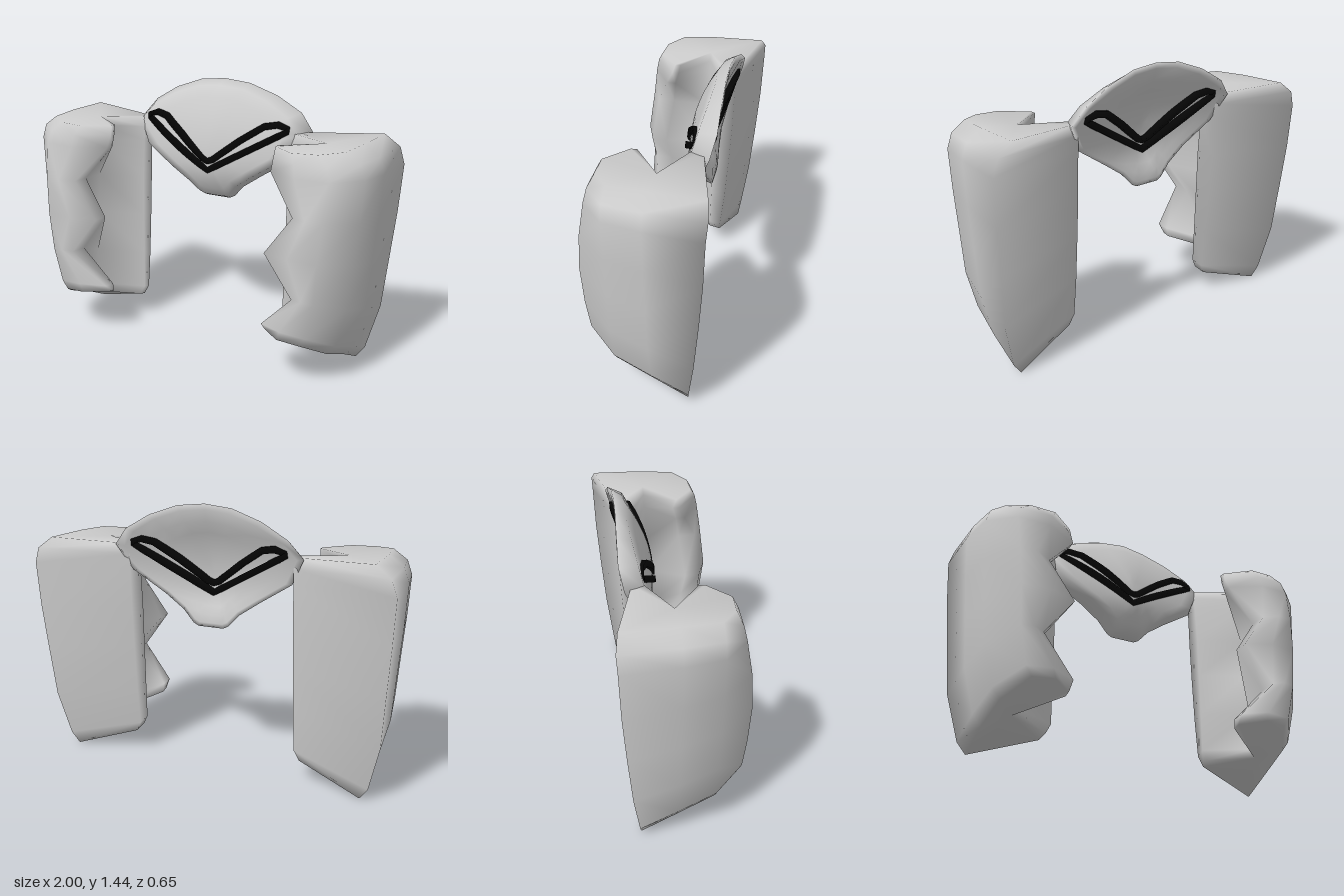
import * as THREE from 'three';

const grey = new THREE.MeshStandardMaterial({ color: 0xcccccc, side: THREE.DoubleSide });
const black = new THREE.MeshStandardMaterial({ color: 0x050505, side: THREE.DoubleSide });

function makeMesh(name, positions, index, material) {
  const g = new THREE.BufferGeometry();
  g.setAttribute('position', new THREE.Float32BufferAttribute(positions, 3));
  g.setIndex(index);
  g.computeVertexNormals();
  const mesh = new THREE.Mesh(g, material);
  mesh.name = name;
  return mesh;
}

// Depth of the domed, ridged face of the brow plate
function faceZ(x, y) {
  const d = y - 1;
  return -0.06 - 0.13 * Math.abs(x) - (d > 0 ? 0.8 : 2) * d * d;
}

// Brow plate: a thick domed shield, rings run from the front centre over the rim to the back centre
function browPlate() {
  const half = [
    [0, 1.44, -0.255], [0.15, 1.425, -0.258], [0.31, 1.37, -0.265], [0.45, 1.29, -0.27],
    [0.525, 1.2, -0.25], [0.45, 1.06, -0.2], [0.27, 0.945, -0.18], [0.16, 0.87, -0.185],
    [0.1, 0.805, -0.19], [0.07, 0.79, -0.19], [0, 0.79, -0.19],
  ];
  const outline = [...half, ...half.slice(1, -1).reverse().map(([x, y, z]) => [-x, y, z])];
  const n = outline.length, cy = 1.06, thickness = 0.08;
  const steps = [0.15, 0.3, 0.45, 0.6, 0.76, 0.92];
  const rings = [
    ...steps.map((s) => [s, 0]),
    [1, 0],
    ...steps.slice().reverse().map((s) => [s, thickness]),
  ];
  const pos = [0, cy, faceZ(0, cy)], index = [];
  rings.forEach(([s, depth], r) => {
    outline.forEach(([ox, oy, oz], i) => {
      const x = ox * s, y = cy + (oy - cy) * s;
      pos.push(x, y, s === 1 ? oz : Math.max(faceZ(x, y) - depth, oz));
      const a = 1 + r * n + i, b = 1 + r * n + (i + 1) % n;
      if (r === 0) index.push(0, b, a);
      else index.push(a - n, b, a, a - n, b - n, b);
    });
  });
  const backCentre = pos.length / 3, lastRing = backCentre - n;
  pos.push(0, cy, faceZ(0, cy) - thickness);
  for (let i = 0; i < n; i++) index.push(backCentre, lastRing + i, lastRing + (i + 1) % n);
  return makeMesh('browPlate', pos, index, grey);
}

// V-shaped band: a deep rectangular section swept round a closed path, set right through the plate
function browBand() {
  const half = [
    [0, 1.019], [0.03, 1.03], [0.18, 1.145], [0.3, 1.225],
    [0.37, 1.238], [0.42, 1.222], [0.42, 1.205], [0, 0.968],
  ];
  const corners = [...half, ...half.slice(1, -1).reverse().map(([x, y]) => [-x, y])];
  const path = [];
  corners.forEach(([x, y], i) => {
    const [nx, ny] = corners[(i + 1) % corners.length];
    const steps = Math.max(1, Math.round(Math.hypot(nx - x, ny - y) / 0.05));
    for (let k = 0; k < steps; k++) {
      path.push(new THREE.Vector2(x + (nx - x) * k / steps, y + (ny - y) * k / steps));
    }
  });
  const n = path.length, w = 0.017, pos = [], index = [];
  path.forEach((p, i) => {
    const t1 = p.clone().sub(path[(i + n - 1) % n]).normalize();
    const t = path[(i + 1) % n].clone().sub(p).normalize().add(t1).normalize();
    const z = faceZ(p.x, p.y);
    // the arms stand proud of the plate most at mid length
    const bulge = 0.018 * Math.sin(Math.PI * Math.abs(p.x) / 0.42);
    const front = z + 0.004 + bulge, back = z - 0.095 - bulge;
    for (const [side, pz] of [[1, front], [1, back], [-1, back], [-1, front]]) {
      pos.push(p.x - t.y * w * side, p.y + t.x * w * side, pz);
    }
    for (let k = 0; k < 4; k++) {
      const a = i * 4 + k, b = i * 4 + (k + 1) % 4;
      const c = ((i + 1) % n) * 4 + k, d = ((i + 1) % n) * 4 + (k + 1) % 4;
      index.push(a, b, c, b, d, c);
    }
  });
  return makeMesh('browBand', pos, index, black);
}

// Side panel: a solid with a V-groove down its inner side and a thick zigzag front edge
function sidePanel(name, side) {
  // height fraction, outer x, back corner z, inner back z, front z, zigzag x, zigzag front z, zigzag back z
  const rows = [
    [0, 0.84, -0.22, -0.09, 0.3, 0.49, 0.2, 0.16],
    [0.05, 0.885, -0.23, -0.095, 0.305, 0.487, 0.24, 0.17],
    [0.25, 0.945, -0.265, -0.1, 0.315, 0.67, 0.29, 0.19],
    [0.47, 0.965, -0.29, -0.105, 0.325, 0.51, 0.275, 0.19],
    [0.68, 0.985, -0.31, -0.11, 0.31, 0.65, 0.265, 0.17],
    [0.88, 0.998, -0.32, -0.125, 0.275, 0.49, 0.18, 0.13],
    [0.95, 0.97, -0.325, -0.14, 0.26, 0.487, 0.145, 0.11],
    [1, 0.89, -0.31, -0.16, 0.235, 0.49, 0.13, 0.1],
  ];
  const low = [0.11, 0, 0.09, 0.17, 0.25, 0.26, 0.25, 0.24, 0.144, 0.13];
  const high = [1.2, 1.22, 1.22, 1.215, 1.205, 1.2, 1.195, 1.195, 1.2, 1.2];
  const cols = low.length, groove = 8, pos = [], index = [];
  const tri = (a, b, c) => (side > 0 ? index.push(a, b, c) : index.push(a, c, b));
  rows.forEach(([t, outer, back, inner, front, zigX, zigFront, zigBack], r) => {
    const fit = (x) => 0.45 + (x - 0.45) * (outer - 0.45) / 0.545;
    const innerX = r === 0 ? 0.48 : 0.452;
    const section = [
      [innerX + 0.01, back * 0.68],
      [outer, back],
      [fit(0.985), -0.04],
      [fit(0.955), 0.15],
      [fit(0.825), front * 0.97],
      [(zigX + fit(0.82)) / 2, front],
      [zigX, zigFront],
      [zigX, zigBack],
      [0.71 - 0.02 * t, 0.03 - 0.07 * t],
      [innerX, inner],
    ];
    section.forEach(([x, z], c) => {
      pos.push(side * x, low[c] + (high[c] - low[c]) * t, z);
      if (r > 0) {
        const a = (r - 1) * cols + c, b = (r - 1) * cols + (c + 1) % cols;
        tri(a, a + cols, b);
        tri(a + cols, b + cols, b);
      }
    });
  });
  // Bottom and top ends, fanned from the groove
  const last = (rows.length - 1) * cols;
  for (let k = 1; k < cols - 1; k++) {
    const a = (groove + k) % cols, b = (groove + k + 1) % cols;
    tri(groove, a, b);
    tri(last + groove, last + b, last + a);
  }
  return makeMesh(name, pos, index, grey);
}

export function createModel() {
  const model = new THREE.Group();
  model.name = 'faceGuard';
  model.add(browPlate(), browBand(), sidePanel('leftCheekPanel', 1), sidePanel('rightCheekPanel', -1));
  return model;
}
